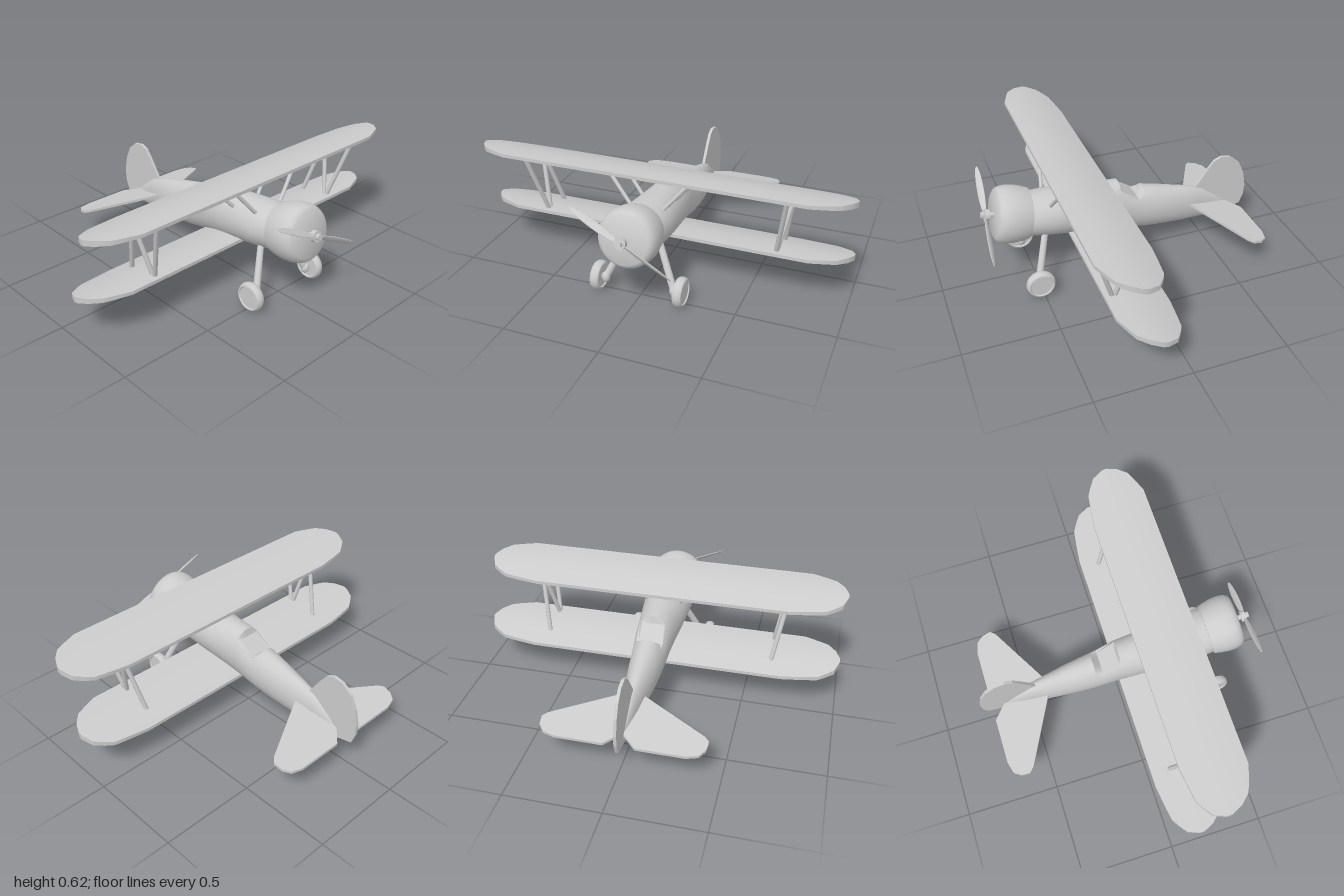
import * as THREE from 'three';
import { toCreasedNormals } from 'three/addons/utils/BufferGeometryUtils.js';

const grey = new THREE.MeshStandardMaterial({ color: 0xcccccc });
const V = (x, y, z) => new THREE.Vector3(x, y, z);

function add(parent, name, geometry) {
  const mesh = new THREE.Mesh(geometry, grey);
  mesh.name = name;
  parent.add(mesh);
  return mesh;
}

// Skin a list of closed cross-sections and cap both ends
function loft(rings, crease) {
  const n = rings[0].length, pos = [], index = [];
  rings.forEach(r => r.forEach(p => pos.push(p.x, p.y, p.z)));
  for (let i = 0; i < rings.length - 1; i++) {
    for (let j = 0; j < n; j++) {
      const k = (j + 1) % n, a = i * n, b = a + n;
      index.push(a + j, a + k, b + j, a + k, b + k, b + j);
    }
  }
  [0, rings.length - 1].forEach(i => {
    const c = V(0, 0, 0);
    rings[i].forEach(p => c.addScaledVector(p, 1 / n));
    const m = pos.length / 3;
    pos.push(c.x, c.y, c.z);
    for (let j = 0; j < n; j++) {
      const a = i * n + j, b = i * n + (j + 1) % n;
      if (i === 0) index.push(m, b, a); else index.push(m, a, b);
    }
  });
  const g = new THREE.BufferGeometry();
  g.setAttribute('position', new THREE.Float32BufferAttribute(pos, 3));
  g.setIndex(index);
  return toCreasedNormals(g, crease);
}

// Round rod between two points
function rod(parent, name, a, b, r0, r1 = r0) {
  const d = b.clone().sub(a);
  const mesh = add(parent, name, new THREE.CylinderGeometry(r1, r0, d.length(), 12));
  mesh.position.copy(a).addScaledVector(d, 0.5);
  mesh.quaternion.setFromUnitVectors(V(0, 1, 0), d.normalize());
}

function lathe(profile, segments) {
  const pts = profile.map(([r, y]) => new THREE.Vector2(r, y));
  return toCreasedNormals(new THREE.LatheGeometry(pts, segments), 0.6);
}

// Thin plate from a 2D outline, centred on its thickness
function plate(outline, thickness) {
  const shape = new THREE.Shape(outline.map(([x, y]) => new THREE.Vector2(x, y)));
  const g = new THREE.ExtrudeGeometry(shape, { depth: thickness, bevelEnabled: false });
  return g.translate(0, 0, -thickness / 2);
}

// Fuselage: z, top, bottom, half width, height of the cockpit cut
function fuselage() {
  const stations = [
    [-0.66, 0.175, 0.118, 0.006], [-0.6, 0.225, 0.115, 0.02], [-0.49, 0.31, 0.116, 0.042],
    [-0.38, 0.343, 0.121, 0.06], [-0.28, 0.37, 0.13, 0.075], [-0.2, 0.39, 0.138, 0.084],
    [-0.13, 0.407, 0.148, 0.09], [-0.09, 0.42, 0.156, 0.093, 0.365], [0, 0.465, 0.175, 0.1, 0.43],
    [0.01, 0.47, 0.177, 0.101], [0.1, 0.473, 0.192, 0.108], [0.25, 0.48, 0.219, 0.124],
    [0.35, 0.488, 0.237, 0.133], [0.42, 0.492, 0.25, 0.137], [0.52, 0.493, 0.266, 0.125]
  ];
  const rings = stations.map(([z, top, bottom, w, cut = 9]) => {
    const ring = [];
    for (let i = 0; i < 28; i++) {
      const t = i / 28 * Math.PI * 2;
      const y = (top + bottom) / 2 + Math.sin(t) * (top - bottom) / 2;
      ring.push(V(Math.cos(t) * w, Math.min(y, cut), z));
    }
    return ring;
  });
  return loft(rings, 0.55);
}

// Cambered, raked wing with rounded tips: x, leading z, trailing z
function wing() {
  const half = [[0.7, 0.415, 0.1], [0.8, 0.415, 0.112], [0.89, 0.382, 0.125], [0.93, 0.365, 0.148],
    [0.975, 0.315, 0.18], [1, 0.262, 0.238]];
  const spans = [...half.map(([x, a, b]) => [-x, a, b]).reverse(), [0, 0.415, 0.1], ...half];
  const steps = 10;
  const rings = spans.map(([x, lead, trail]) => {
    const top = [], under = [];
    for (let i = 0; i <= steps; i++) {
      const z = trail + (lead - trail) * i / steps;
      const u = (0.415 - z) / 0.315, bulge = Math.sin(Math.PI * u);
      const y = 0.617 - 0.072 * u + 0.018 * bulge;
      top.push(V(x, y, z));
      under.unshift(V(x, y - 0.018 - 0.012 * bulge, z));
    }
    return [...top, ...under];
  });
  return loft(rings, 0.5);
}

export function createModel() {
  const model = new THREE.Group();
  model.name = 'biplane';
  add(model, 'fuselage', fuselage());

  // Wings
  const wingShape = wing();
  add(model, 'upperWing', wingShape);
  add(model, 'lowerWing', wingShape).position.set(0, -0.345, -0.1);

  // Engine cowl and propeller share a raised thrust line
  const nose = new THREE.Group();
  nose.name = 'nose';
  nose.position.set(0, 0.383, 0.513);
  nose.rotation.x = -0.19;
  model.add(nose);
  add(nose, 'cowl', lathe([[0, 0], [0.135, 0], [0.143, 0.03], [0.151, 0.075], [0.152, 0.115],
    [0.147, 0.145], [0.137, 0.165], [0.122, 0.175], [0, 0.175]], 36).rotateX(Math.PI / 2));
  add(nose, 'propellerHub', lathe([[0, 0.17], [0.014, 0.17], [0.014, 0.2], [0.03, 0.2], [0.03, 0.225],
    [0.016, 0.225], [0.016, 0.243], [0, 0.243]], 16).rotateX(Math.PI / 2));
  for (const turn of [0, Math.PI]) {
    const blade = new THREE.SphereGeometry(1, 16, 14).scale(0.021, 0.147, 0.005);
    blade.rotateY(0.8).translate(0, 0.15, 0).rotateZ(1.11 + turn);
    add(nose, 'propellerBlade', blade).position.z = 0.22;
  }

  // Tail fin, drawn in the z-y plane
  const fin = plate([[-0.455, 0.32], [-0.53, 0.427], [-0.563, 0.468], [-0.604, 0.485], [-0.66, 0.476],
    [-0.715, 0.43], [-0.75, 0.357], [-0.768, 0.27], [-0.764, 0.205], [-0.743, 0.148], [-0.65, 0.127],
    [-0.5, 0.22]], 0.016);
  add(model, 'tailFin', fin.rotateY(-Math.PI / 2));

  // Tailplane halves, sheared to follow the sloping tail
  const tailHalf = [[0, -0.385], [0.05, -0.4], [0.4, -0.587], [0.425, -0.612], [0.42, -0.66], [0.392, -0.698],
    [0.33, -0.715], [0.08, -0.715], [0, -0.64]];
  for (const s of [1, -1]) {
    const g = plate(tailHalf.map(([x, z]) => [s * x, -z]), 0.014).rotateX(-Math.PI / 2);
    const p = g.attributes.position;
    for (let i = 0; i < p.count; i++) p.setY(i, p.getY(i) + 0.243 + 0.25 * (p.getZ(i) + 0.395));
    g.computeVertexNormals();
    add(model, s > 0 ? 'leftTailplane' : 'rightTailplane', g);
  }

  const tyre = lathe([[0, -0.018], [0.058, -0.018], [0.062, -0.024], [0.069, -0.022], [0.075, -0.013],
    [0.078, 0], [0.075, 0.013], [0.069, 0.022], [0.062, 0.024], [0.058, 0.018], [0, 0.018]], 32)
    .rotateZ(Math.PI / 2);

  for (const s of [1, -1]) {
    // N-shaped struts between the wings
    const N = [[0.375, 0.59, 0.27, 0.25], [0.195, 0.55, 0.262, 0.25], [0.19, 0.55, 0.09, 0.205]];
    for (const [zt, yt, zb, yb] of N) {
      rod(model, 'wingStrut', V(s * 0.63, yb, zb), V(s * 0.69, yt, zt), 0.012);
    }
    // Short struts from the fuselage to the upper wing
    rod(model, 'centreStrut', V(s * 0.09, 0.46, 0.405), V(s * 0.2, 0.59, 0.38), 0.01);
    rod(model, 'centreStrut', V(s * 0.085, 0.43, 0.25), V(s * 0.2, 0.56, 0.215), 0.01);

    // Landing gear
    rod(model, 'gearLeg', V(s * 0.185, 0.075, 0.517), V(s * 0.085, 0.29, 0.445), 0.019, 0.017);
    add(model, 'gearFoot', new THREE.SphereGeometry(0.024, 16, 12).scale(0.9, 1.3, 1))
      .position.set(s * 0.184, 0.075, 0.517);
    rod(model, 'axle', V(s * 0.18, 0.078, 0.517), V(s * 0.225, 0.078, 0.517), 0.015);
    add(model, 'wheel', tyre).position.set(s * 0.222, 0.078, 0.517);
  }
  return model;
}
